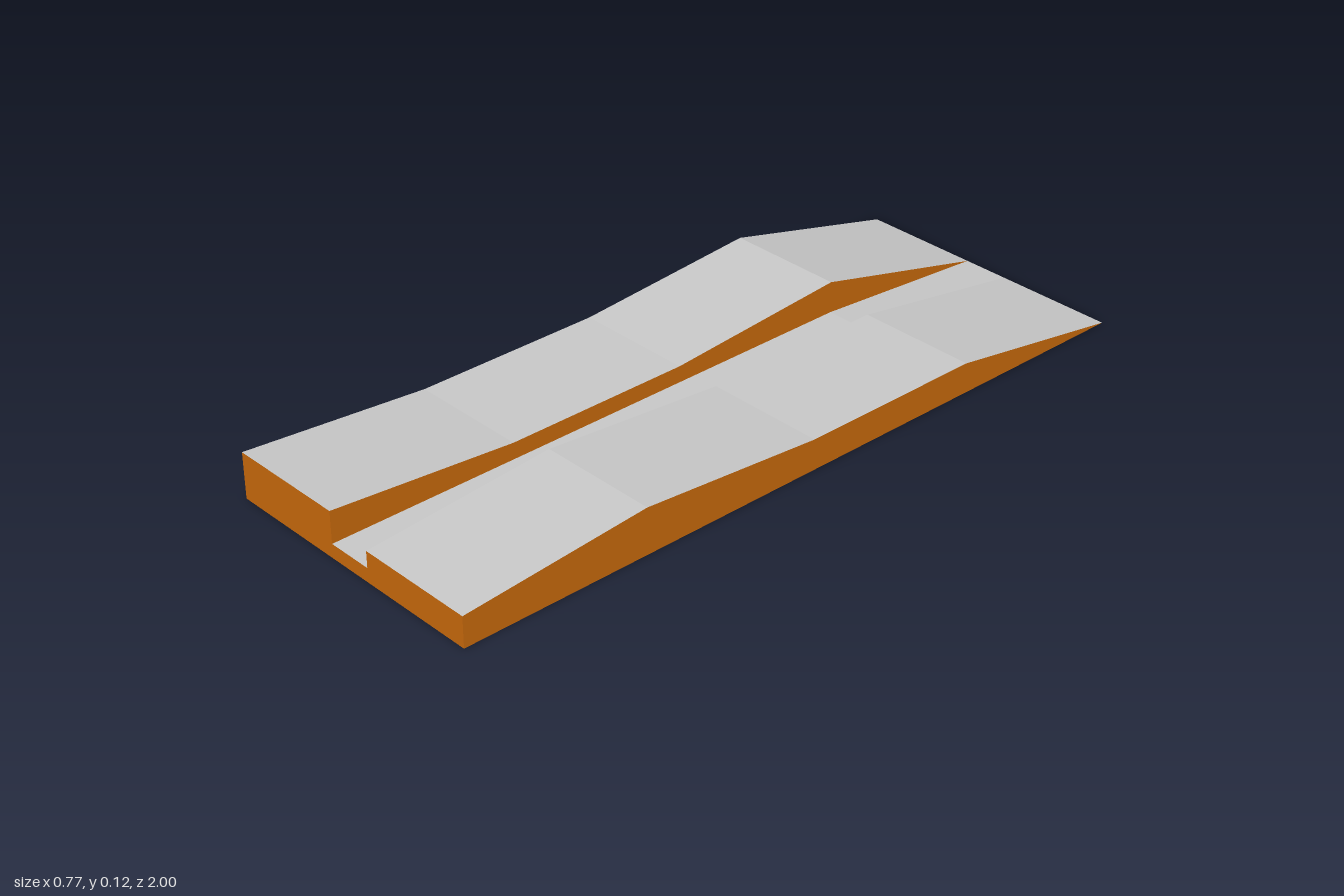
import * as THREE from 'three';

const orange = new THREE.MeshStandardMaterial({ color: 0xc96a0c, side: THREE.DoubleSide });
orange.name = 'orange side';
const grey = new THREE.MeshStandardMaterial({ color: 0xc8c8c8, side: THREE.DoubleSide });
grey.name = 'light grey surface';

// stations along the length, front to back, with the height of each lane there
const Z = [1, 0.5, 0, -0.5, -1];
const LEFT_LANE = [0.08, 0.12, 0.08, 0.08, 0];
const RIGHT_LANE = [0.12, 0.08, 0.08, 0.12, 0];
const GROOVE = [0.037, 0.037, 0.037, 0.037, 0];
const GROUND = [0, 0, 0, 0, 0];
const OUTER = 0.383, INNER = 0.062;

// flat-shaded strip between two lengthwise edges, each given by x and its heights
function strip(name, material, xa, ha, xb, hb) {
  const pos = [];
  for (let i = 0; i < Z.length - 1; i++) {
    const a = [xa, ha[i], Z[i]], b = [xb, hb[i], Z[i]];
    const c = [xb, hb[i + 1], Z[i + 1]], d = [xa, ha[i + 1], Z[i + 1]];
    pos.push(...a, ...b, ...c, ...a, ...c, ...d);
  }
  const geo = new THREE.BufferGeometry();
  geo.setAttribute('position', new THREE.Float32BufferAttribute(pos, 3));
  geo.computeVertexNormals();
  const mesh = new THREE.Mesh(geo, material);
  mesh.name = name;
  return mesh;
}

// upright cross wall that fills the section at station i
function crossWall(name, i) {
  const l = LEFT_LANE[i], r = RIGHT_LANE[i], g = GROOVE[i];
  const outline = [[-OUTER, 0], [OUTER, 0], [OUTER, l], [INNER, l],
    [INNER, g], [-INNER, g], [-INNER, r], [-OUTER, r]];
  const shape = new THREE.Shape(outline.map(([x, y]) => new THREE.Vector2(x, y)));
  const mesh = new THREE.Mesh(new THREE.ShapeGeometry(shape), orange);
  mesh.position.z = Z[i];
  mesh.name = name;
  return mesh;
}

export function createModel() {
  const model = new THREE.Group();
  model.name = 'ramp';

  // driving surfaces
  model.add(strip('leftLane', grey, INNER, LEFT_LANE, OUTER, LEFT_LANE));
  model.add(strip('rightLane', grey, -OUTER, RIGHT_LANE, -INNER, RIGHT_LANE));
  model.add(strip('grooveFloor', grey, -INNER, GROOVE, INNER, GROOVE));

  // outer sides and groove walls
  model.add(strip('leftSide', orange, OUTER, LEFT_LANE, OUTER, GROUND));
  model.add(strip('rightSide', orange, -OUTER, GROUND, -OUTER, RIGHT_LANE));
  model.add(strip('leftGrooveWall', orange, INNER, GROOVE, INNER, LEFT_LANE));
  model.add(strip('rightGrooveWall', orange, -INNER, RIGHT_LANE, -INNER, GROOVE));

  // front end and the inner divider under the rear slope; the base is open
  model.add(crossWall('frontWall', 0));
  model.add(crossWall('innerDivider', 3));
  return model;
}
